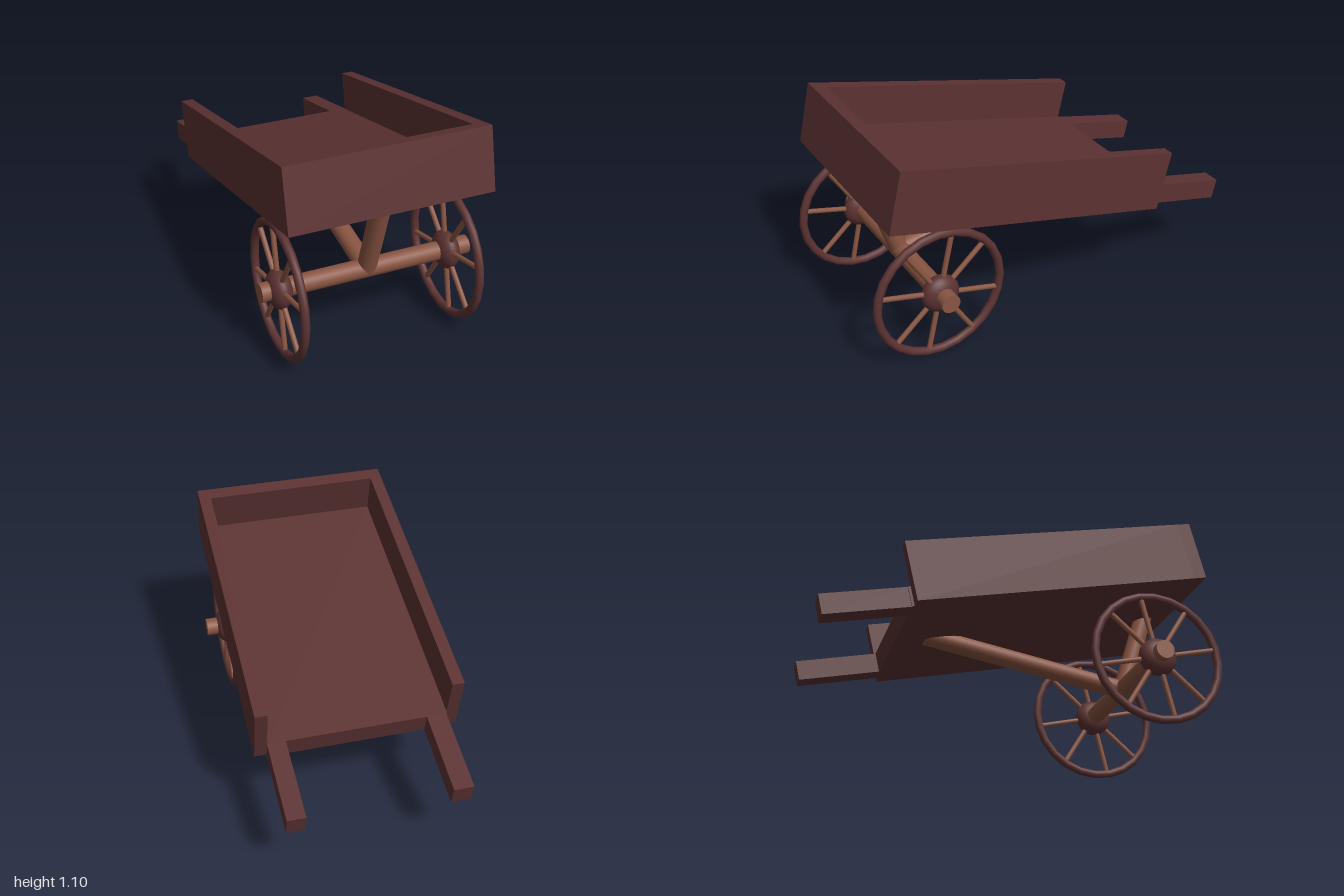
import * as THREE from 'three';

export function createModel() {
  const root = new THREE.Group();
  root.name = 'handCart';
  const darkWood = new THREE.MeshStandardMaterial({ color: 0x5c3232 });
  darkWood.name = 'dark wood';
  const lightWood = new THREE.MeshStandardMaterial({ color: 0x8a5542 });
  lightWood.name = 'light wood';

  function add(parent, name, geometry, material) {
    const mesh = new THREE.Mesh(geometry, material);
    mesh.name = name;
    parent.add(mesh);
    return mesh;
  }

  // Box given by its limits on each axis
  function board(parent, name, [x0, x1], [y0, y1], [z0, z1]) {
    const mesh = add(parent, name, new THREE.BoxGeometry(x1 - x0, y1 - y0, z1 - z0), darkWood);
    mesh.position.set((x0 + x1) / 2, (y0 + y1) / 2, (z0 + z1) / 2);
  }

  // Round pole between two points
  function pole(parent, name, from, to, radius, sides = 24) {
    const a = new THREE.Vector3(...from);
    const d = new THREE.Vector3(...to).sub(a);
    const mesh = add(parent, name, new THREE.CylinderGeometry(radius, radius, d.length(), sides), lightWood);
    mesh.position.copy(a).addScaledVector(d, 0.5);
    mesh.quaternion.setFromUnitVectors(new THREE.Vector3(0, 1, 0), d.normalize());
  }

  // Tilted bed, open at the back; its origin is the lower front edge
  const bed = new THREE.Group();
  bed.name = 'bed';
  bed.position.set(0, 0.8, 0.925);
  bed.rotation.x = -0.232;
  root.add(bed);
  board(bed, 'frontBoard', [-0.5, 0.5], [0, 0.31], [-0.07, 0]);
  board(bed, 'rightBoard', [-0.5, -0.44], [0, 0.31], [-1.52, -0.07]);
  board(bed, 'leftBoard', [0.44, 0.5], [0, 0.31], [-1.52, -0.07]);
  board(bed, 'floor', [-0.44, 0.44], [0, 0.103], [-1.533, -0.07]);
  board(bed, 'rightHandle', [-0.435, -0.337], [0, 0.103], [-1.953, -1.533]);
  board(bed, 'leftHandle', [0.353, 0.443], [0, 0.103], [-1.953, -1.533]);

  // Axle and the two struts that carry the bed
  const axleY = 0.35, axleZ = 0.653;
  pole(root, 'axle', [-0.54, axleY, axleZ], [0.535, axleY, axleZ], 0.047);
  pole(root, 'frontStrut', [0, axleY, axleZ], [0, 0.79, 0.795], 0.047);
  pole(root, 'rearStrut', [0, axleY, axleZ], [0, 0.517, -0.405], 0.047);

  // Wheels with unevenly set spokes
  for (const [name, x] of [['rightWheel', -0.445], ['leftWheel', 0.425]]) {
    const wheel = new THREE.Group();
    wheel.name = name;
    wheel.position.set(x, 0.347, axleZ);
    root.add(wheel);
    const rim = add(wheel, 'rim', new THREE.TorusGeometry(0.324, 0.021, 10, 24), darkWood);
    rim.rotation.y = Math.PI / 2;
    const hub = add(wheel, 'hub', new THREE.SphereGeometry(0.096, 24, 16), darkWood);
    hub.scale.x = 0.62;
    for (const degrees of [77, 41, -14, -58]) {
      const a = THREE.MathUtils.degToRad(degrees);
      const y = 0.322 * Math.sin(a), z = -0.322 * Math.cos(a);
      pole(wheel, 'spoke', [0, 0, 0], [0, y, z], 0.013, 10);
      pole(wheel, 'spoke', [0, 0, 0], [0, -y, -z], 0.013, 10);
    }
  }

  return root;
}
